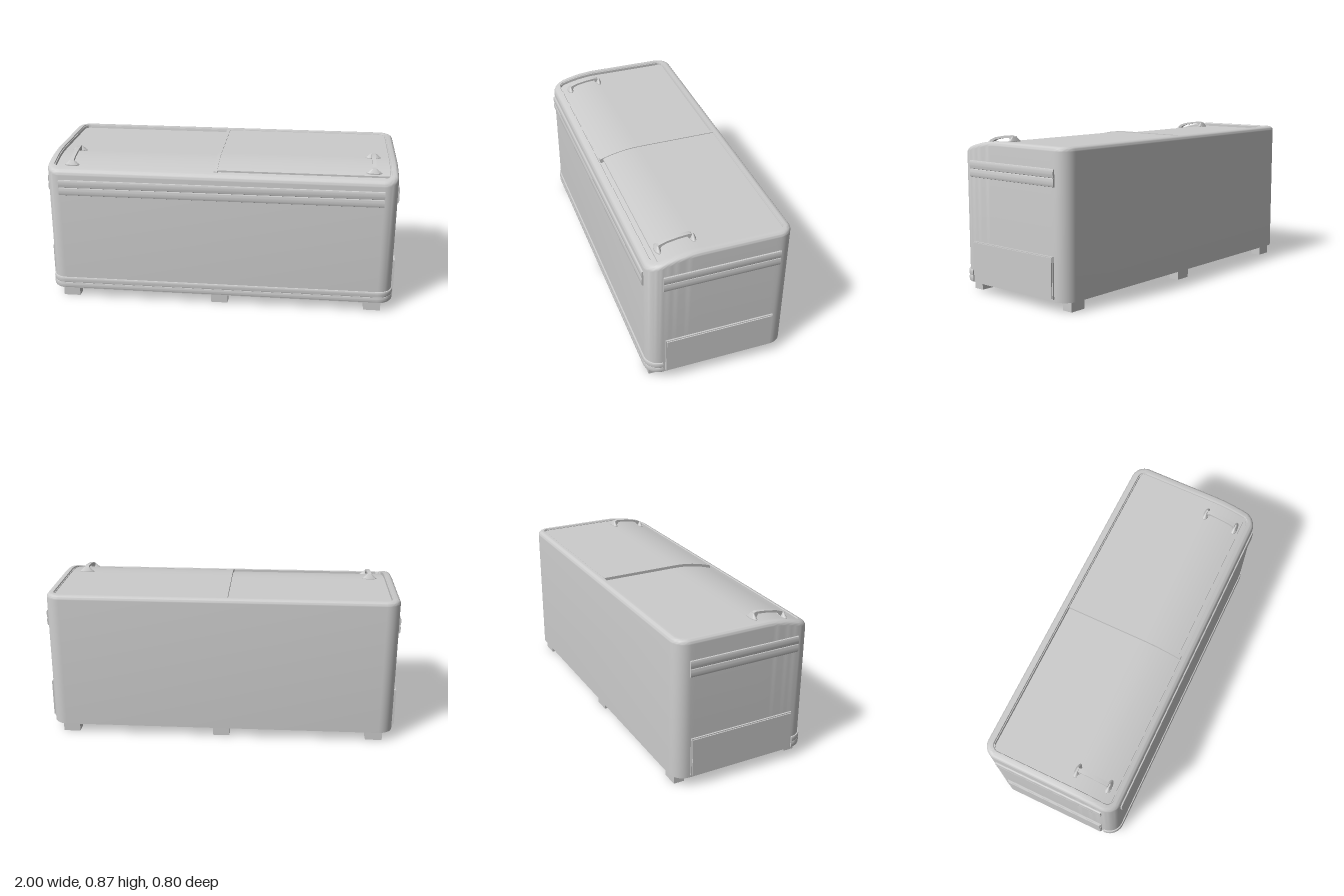
import * as THREE from 'three';
import { toCreasedNormals } from 'three/addons/utils/BufferGeometryUtils.js';

const W = 0.985, BACK = -0.4, FRONT = 0.39, R = 0.08;
const mat = new THREE.MeshStandardMaterial({ color: 0xcccccc, side: THREE.DoubleSide });

// Height of the top surface: flat at the back, curving down to the front
const topY = z => 0.84 - 0.72 * Math.max(0, z - 0.1) ** 2;

function mesh(name, geometry, crease = 0.6) {
  const m = new THREE.Mesh(toCreasedNormals(geometry, crease), mat);
  m.name = name;
  return m;
}

function box(name, x0, x1, y0, y1, z0, z1) {
  const g = new THREE.BoxGeometry(x1 - x0, y1 - y0, z1 - z0);
  g.translate((x0 + x1) / 2, (y0 + y1) / 2, (z0 + z1) / 2);
  return mesh(name, g);
}

// Rounded rectangle in plan, inset by d, starting at the right back corner
function ring(d) {
  const pts = [], r = R - d, n = 10, sides = 28;
  const corners = [[1, BACK + R], [-1, BACK + R], [-1, FRONT - R], [1, FRONT - R]];
  corners.forEach(([s, cz], k) => {
    const cx = s * (W - R);
    for (let i = 0; i <= n; i++) {
      const a = (k + i / n) * Math.PI / 2;
      pts.push([cx + r * Math.cos(a), cz - r * Math.sin(a)]);
    }
    if (k % 2) {
      const nz = corners[(k + 1) % 4][1];
      for (let i = 1; i < sides; i++) pts.push([s * (W - d), cz + (nz - cz) * i / sides]);
    }
  });
  return pts;
}

// Skin a stack of rows, each an array of [x, y, z]
function loft(rows, closed) {
  const n = rows[0].length, index = [];
  for (let i = 0; i < rows.length - 1; i++) {
    for (let j = 0; j < (closed ? n : n - 1); j++) {
      const a = i * n + j, b = i * n + (j + 1) % n;
      index.push(a, b, b + n, a, b + n, a + n);
    }
  }
  const g = new THREE.BufferGeometry();
  g.setAttribute('position', new THREE.Float32BufferAttribute(rows.flat(2), 3));
  g.setIndex(index);
  return g;
}

// Extrude a (z, y) outline along x
function extrudeX(points, x0, x1) {
  const shape = new THREE.Shape(points.map(p => new THREE.Vector2(...p)));
  const g = new THREE.ExtrudeGeometry(shape, { depth: x1 - x0, bevelEnabled: false });
  return g.rotateY(-Math.PI / 2).translate(x1, 0, 0);
}

// Curved slab following the top surface
function slab(name, x0, x1, z0, z1, drop, thick) {
  const top = [], under = [], n = 28;
  for (let i = 0; i <= n; i++) {
    const z = z0 + (z1 - z0) * i / n;
    top.push([z, topY(z) - drop]);
    under.unshift([z, topY(z) - drop - thick]);
  }
  return mesh(name, extrudeX([...top, ...under], x0, x1));
}

// Double-rib bumper profile as [depth, y]
function ribs(y0, y1, depth) {
  const pts = [[-0.004, y0]], h = (y1 - y0) / 2;
  for (let k = 0; k < 2; k++) {
    for (let i = 0; i <= 8; i++) {
      const a = Math.PI * i / 8;
      pts.push([depth * (0.35 + 0.65 * Math.sin(a) ** 0.6), y0 + h * (k + 0.5 - 0.5 * Math.cos(a))]);
    }
  }
  pts.push([-0.004, y1]);
  return pts;
}

function createBody() {
  const rows = [];
  const flat = (d, y) => rows.push(ring(d).map(([x, z]) => [x, y, z]));
  const follow = (d, drop) => rows.push(ring(d).map(([x, z]) => [x, topY(z) - drop, z]));
  rows.push(ring(0).map(() => [0, 0.055, 0]));
  flat(0, 0.055);
  for (let i = 0; i <= 6; i++) {
    const a = i / 6 * Math.PI / 2;
    follow(0.024 * (1 - Math.cos(a)), 0.024 * (1 - Math.sin(a)));
  }
  follow(0.038, 0);
  follow(0.041, 0.006);
  follow(0.045, 0.006);
  follow(0.046, 0.045);
  return mesh('cabinet', loft(rows, true));
}

// Bumper wrapping round the front corners near the floor
function createKickBumper() {
  const rows = ribs(0.06, 0.125, 0.008).map(([out, y]) => {
    const at = d => ring(d).filter(p => p[1] > FRONT - R - 0.0001).map(([x, z]) => [x, y, z]);
    const inner = at(0.004), outer = at(-out);
    return [inner[0], ...outer, inner[inner.length - 1]];
  });
  return mesh('kickBumper', loft(rows, false));
}

function createHandle(x, drop) {
  const g = new THREE.Group();
  g.name = 'lidHandle';
  const outline = [[0.305, 0.805], [0.29, 0.835], [0.25, 0.849], [0.19, 0.859], [0.13, 0.865],
    [0.118, 0.861], [0.1, 0.836], [0.13, 0.836], [0.14, 0.851], [0.19, 0.847], [0.25, 0.836],
    [0.275, 0.825], [0.285, 0.805]];
  g.add(mesh('grip', extrudeX(outline, -0.011, 0.011)));
  // Flared feet
  [[0.11, 0.832, 0.028], [0.296, 0.804, 0.026]].forEach(([z, y, h]) => {
    const foot = new THREE.CylinderGeometry(0.013, 0.043, h, 24);
    foot.scale(1, 1, 0.4).translate(0, y + h / 2, z);
    g.add(mesh('handleFoot', foot));
    const base = new THREE.CylinderGeometry(0.043, 0.043, 0.012, 24);
    base.scale(1, 1, 0.4).translate(0, y - 0.003, z);
    g.add(mesh('handleBase', base));
  });
  g.position.set(x, -drop, 0);
  return g;
}

export function createModel() {
  const model = new THREE.Group();
  model.name = 'chestFreezer';
  model.add(createBody(), createKickBumper());

  // Sliding lids at two levels, above a tray
  model.add(slab('lidTray', -0.94, 0.94, -0.356, 0.346, 0.03, 0.01));
  model.add(slab('lowerLid', -0.938, -0.02, -0.352, 0.34, 0.02, 0.01));
  model.add(slab('upperLid', -0.03, 0.938, -0.352, 0.322, 0.008, 0.01));
  model.add(slab('lidEdgeTrim', -0.034, -0.014, -0.352, 0.34, 0.004, 0.026));
  model.add(createHandle(0.85, 0), createHandle(-0.85, 0.012));

  // Front bumper
  const profile = ribs(0.64, 0.73, 0.01);
  model.add(mesh('frontBumper', extrudeX(profile.map(([d, y]) => [FRONT + d, y]), -0.91, 0.91)));

  for (const s of [1, -1]) {
    // Side bumper, turned to face outward
    const g = extrudeX(profile.map(([d, y]) => [W + d, y]), -0.3185, 0.3185);
    g.rotateY(s * Math.PI / 2).translate(0, 0, -0.0085);
    model.add(mesh('sideBumper', g));

    // Service panel standing off a frame
    const span = (a, b) => s > 0 ? [a, b] : [-b, -a];
    model.add(box('panelFrame', ...span(0.975, 0.994), 0.068, 0.288, -0.315, 0.297));
    model.add(box('servicePanel', ...span(0.98, 1), 0.073, 0.283, -0.31, 0.292));
  }

  // Feet joined by a rail
  for (const x of [-0.88, 0, 0.88]) {
    model.add(box('frontFoot', x - 0.048, x + 0.048, 0, 0.056, 0.31, 0.372));
    model.add(box('backFoot', x - 0.048, x + 0.048, 0, 0.056, -0.38, -0.318));
    model.add(box('footRail', x - 0.02, x + 0.02, 0.035, 0.056, -0.32, 0.312));
  }
  return model;
}
